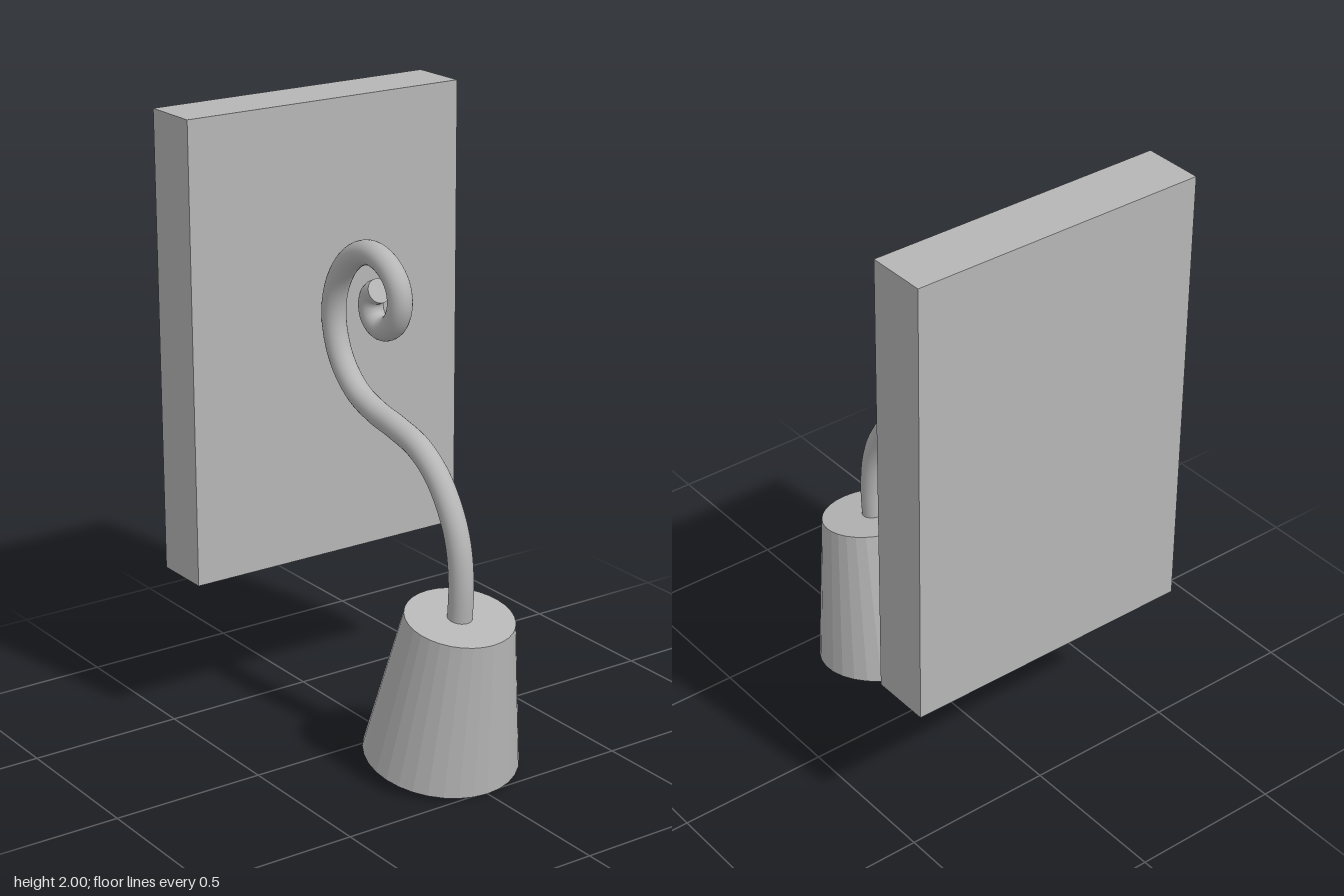
import * as THREE from 'three';

export function createModel() {
  const model = new THREE.Group();
  model.name = 'wallLamp';

  const color = 0xb6b6b6;
  const smoothGrey = new THREE.MeshStandardMaterial({ color });
  smoothGrey.name = 'grey';
  const facetedGrey = new THREE.MeshStandardMaterial({ color, flatShading: true });
  facetedGrey.name = 'faceted grey';

  const add = (name, geometry, material) => {
    const mesh = new THREE.Mesh(geometry, material);
    mesh.name = name;
    model.add(mesh);
    return mesh;
  };

  // Wall panel
  add('wallPanel', new THREE.BoxGeometry(0.99, 1.48, 0.195), facetedGrey)
    .position.set(0, 1.26, -0.4325);

  // Scrolled arm, from the shade up to the inner end of the spiral, as [z, y]
  const armRadius = 0.039;
  const path = new THREE.CatmullRomCurve3([
    [0.36, 0.5], [0.368, 0.64], [0.354, 0.757], [0.317, 0.852], [0.243, 0.952],
    [0.148, 1.016], [0.032, 1.048], [-0.074, 1.069], [-0.18, 1.111], [-0.264, 1.196],
    [-0.302, 1.307], [-0.291, 1.407], [-0.238, 1.497], [-0.169, 1.55], [-0.09, 1.569],
    [-0.011, 1.545], [0.04, 1.492], [0.048, 1.429], [0.016, 1.37], [-0.042, 1.346],
    [-0.088, 1.367], [-0.103, 1.407], [-0.09, 1.443], [-0.058, 1.46],
  ].map(([z, y]) => new THREE.Vector3(0, y, z)));
  add('arm', new THREE.TubeGeometry(path, 160, armRadius, 24), smoothGrey);

  // Flat cap on the spiral end
  const cap = add('armEndCap', new THREE.CircleGeometry(armRadius, 24), smoothGrey);
  cap.position.copy(path.getPoint(1));
  cap.lookAt(path.getPoint(1).add(path.getTangent(1)));

  // Hollow tapered shade, open at the bottom and tilted forward at the top
  const height = 0.493;
  const profile = [
    [0, height - 0.035], [0.138, height - 0.035], [0.207, 0],
    [0.245, 0], [0.171, height], [0, height],
  ].map(([r, y]) => new THREE.Vector2(r, y));
  const shade = add('shade', new THREE.LatheGeometry(profile, 32), facetedGrey);
  shade.position.set(0, 0.05, 0.27);
  shade.rotation.x = 0.19;

  return model;
}
